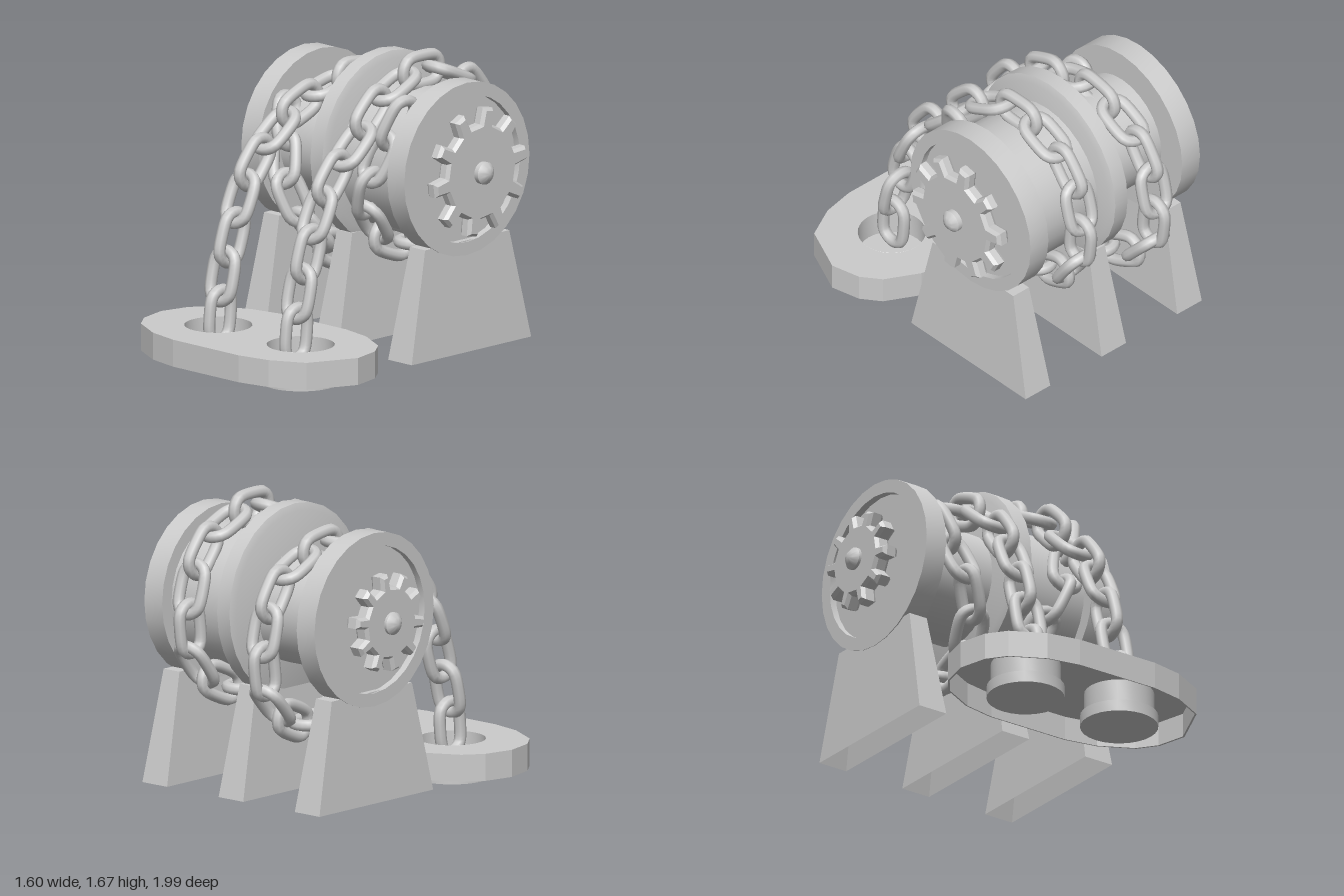
import * as THREE from 'three';
import { toCreasedNormals } from 'three/addons/utils/BufferGeometryUtils.js';

const AXIS_Y = 1.07, AXIS_Z = -0.375;
const grey = new THREE.MeshStandardMaterial({ color: 0xcccccc });
const thin = new THREE.MeshStandardMaterial({ color: 0xcccccc, side: THREE.DoubleSide });

function add(parent, name, geometry, material = grey) {
  const mesh = new THREE.Mesh(geometry, material);
  mesh.name = name;
  parent.add(mesh);
  return mesh;
}

// Turned part from [radius, height] pairs
function turned(profile, segments = 28) {
  const pts = profile.map(([r, h]) => new THREE.Vector2(r, h));
  return toCreasedNormals(new THREE.LatheGeometry(pts, segments), 0.6);
}

// Turned part lying along x, centred on the winch axis
function axle(profile, y = AXIS_Y) {
  return turned(profile).rotateZ(-Math.PI / 2).translate(0, y, AXIS_Z);
}

// Tapered leg, open underneath
function supportGeometry() {
  const g = new THREE.BoxGeometry(1, 0.61, 1);
  const index = Array.from(g.index.array).filter((v, i) => i < 18 || i >= 24);
  g.setIndex(index);
  g.clearGroups();
  const p = g.attributes.position;
  for (let i = 0; i < p.count; i++) {
    const top = p.getY(i) > 0;
    p.setX(i, p.getX(i) * (top ? 0.115 : 0.18));
    p.setZ(i, p.getZ(i) * (top ? 0.645 : 0.915));
  }
  g.computeVertexNormals();
  return g.translate(0, 0.365, -0.385);
}

// Toothed wheel facing x
function gearGeometry(radius, root, width) {
  const teeth = 10, step = Math.PI * 2 / teeth, pts = [];
  for (let i = 0; i < teeth; i++) {
    const a = i * step + 0.14;
    for (const [r, o] of [[root, -0.27], [radius, -0.17], [radius, 0.17], [root, 0.27]]) {
      pts.push(new THREE.Vector2(Math.cos(a + o * step) * r, Math.sin(a + o * step) * r));
    }
  }
  const bevel = 0.02;
  return new THREE.ExtrudeGeometry(new THREE.Shape(pts), {
    depth: width - bevel * 2, bevelEnabled: true, bevelSegments: 1,
    bevelThickness: bevel, bevelSize: 0.015, bevelOffset: -0.015,
  }).translate(0, 0, bevel - width / 2).rotateY(Math.PI / 2);
}

// Oval chain link, long along y and wide along x
function linkGeometry() {
  const pts = [];
  for (let i = 0; i < 12; i++) {
    const a = i / 12 * Math.PI * 2;
    pts.push(new THREE.Vector3(Math.cos(a) * 0.08, Math.sin(a) * 0.08 + Math.sign(Math.round(Math.sin(a) * 100)) * 0.06, 0));
  }
  return new THREE.TubeGeometry(new THREE.CatmullRomCurve3(pts, true), 32, 0.033, 8, true);
}

// Chain rising from the plate and winding once round the drum
function chain(side, drop) {
  const group = new THREE.Group();
  const pts = [[0.27, 0.6], [0.48, 0.58], [0.68, 0.51], [0.9, 0.44], [1.1, 0.31]]
    .map(([y, z]) => new THREE.Vector3(side * 0.29, y, z));
  const wrap = [ // degrees, radius, x, share of drop
    [20, 0.545, 0.285, 0], [45, 0.5, 0.28, 0.6], [90, 0.49, 0.27, 1], [135, 0.5, 0.27, 1],
    [170, 0.5, 0.27, 1], [195, 0.51, 0.27, 1], [215, 0.54, 0.27, 1], [245, 0.5, 0.25, 1],
    [270, 0.47, 0.22, 1], [300, 0.46, 0.21, 1], [330, 0.44, 0.25, 1], [360, 0.43, 0.33, 1], [400, 0.43, 0.42, 1],
  ];
  for (const [deg, r, x, share] of wrap) {
    const a = deg * Math.PI / 180;
    pts.push(new THREE.Vector3(side * x, AXIS_Y + Math.sin(a) * r - drop * share, AXIS_Z + Math.cos(a) * r));
  }
  const curve = new THREE.CatmullRomCurve3(pts);
  const n = Math.round(curve.getLength() / 0.218);
  const link = linkGeometry();
  for (let i = 0; i <= n; i++) {
    const t = curve.getTangentAt(i / n);
    const across = new THREE.Vector3(1, 0, 0).addScaledVector(t, -t.x).normalize();
    const wide = i % 2 ? across : new THREE.Vector3().crossVectors(t, across);
    const m = new THREE.Matrix4().makeBasis(wide, t, new THREE.Vector3().crossVectors(wide, t));
    const mesh = add(group, 'chainLink', link);
    mesh.quaternion.setFromRotationMatrix(m);
    mesh.position.copy(curve.getPointAt(i / n));
  }
  return group;
}

// Rounded outline of the floor plate
function plateOutline(scale) {
  const q = [[0.75, 0], [0.71, 0.17], [0.63, 0.275], [0.44, 0.375], [0.25, 0.412]];
  const half = [...q, ...q.slice(1).reverse().map(([x, z]) => [-x, z])];
  const all = [...half, ...half.slice(1).map(([x, z]) => [-x, -z]), ];
  all.splice(half.length, 0, [-0.75, 0]);
  all.pop();
  return all.map(([x, z]) => new THREE.Vector2(x * scale, z * scale));
}

function extrudeUp(shape, y, height) {
  return new THREE.ExtrudeGeometry(shape, { depth: height, bevelEnabled: false, curveSegments: 24 })
    .rotateX(-Math.PI / 2).translate(0, y, 0.59);
}

export function createModel() {
  const model = new THREE.Group();
  model.name = 'chainWinch';

  // Legs
  const leg = supportGeometry();
  for (const x of [-0.555, 0, 0.555]) add(model, 'support', leg, thin).position.x = x;

  // Drums, centre divider and shaft
  add(model, 'smallDrum', axle([[0.313, -0.5], [0.313, 0]]), thin);
  add(model, 'largeDrum', axle([[0.405, 0], [0.405, 0.5]]), thin);
  add(model, 'centreDisc', axle([[0, -0.06], [0.49, -0.06], [0.53, -0.045], [0.53, 0.045], [0.49, 0.06], [0, 0.06]], 1.1));
  add(model, 'shaft', axle([[0, -0.8], [0.035, -0.79], [0.062, -0.765], [0.062, 0.765], [0.035, 0.79], [0, 0.8]]));

  // End flanges with recessed outer faces
  const flange = [[0, 0.49], [0.48, 0.49], [0.48, 0.62], [0.407, 0.62], [0.407, 0.58], [0, 0.58]];
  add(model, 'leftFlange', axle(flange));
  add(model, 'rightFlange', axle(flange.map(([r, h]) => [r, -h]).reverse()));

  // Gears
  add(model, 'largeGear', gearGeometry(0.355, 0.265, 0.08)).position.set(0.697, AXIS_Y, AXIS_Z);
  add(model, 'smallGear', gearGeometry(0.272, 0.2, 0.095)).position.set(-0.702, AXIS_Y, AXIS_Z);

  // Hollow floor plate with two chain wells
  const top = new THREE.Shape(plateOutline(1));
  const skirt = new THREE.Shape(plateOutline(1));
  skirt.holes.push(new THREE.Path(plateOutline(0.985)));
  const well = turned([[0, 0], [0.212, 0], [0.212, 0.065], [0.19, 0.065], [0.19, 0.205], [0.184, 0.21], [0.184, 0.07], [0, 0.07]]);
  for (const x of [-0.313, 0.313]) {
    top.holes.push(new THREE.Path().absarc(x, 0, 0.185, 0, Math.PI * 2, true));
    add(model, 'chainWell', well, thin).position.set(x, 0, 0.59);
  }
  add(model, 'plateTop', extrudeUp(top, 0.195, 0.015));
  add(model, 'plateSkirt', extrudeUp(skirt, 0.06, 0.14));

  // Chains
  const leftChain = chain(1, 0), rightChain = chain(-1, 0.13);
  leftChain.name = 'leftChain';
  rightChain.name = 'rightChain';
  model.add(leftChain, rightChain);
  return model;
}
